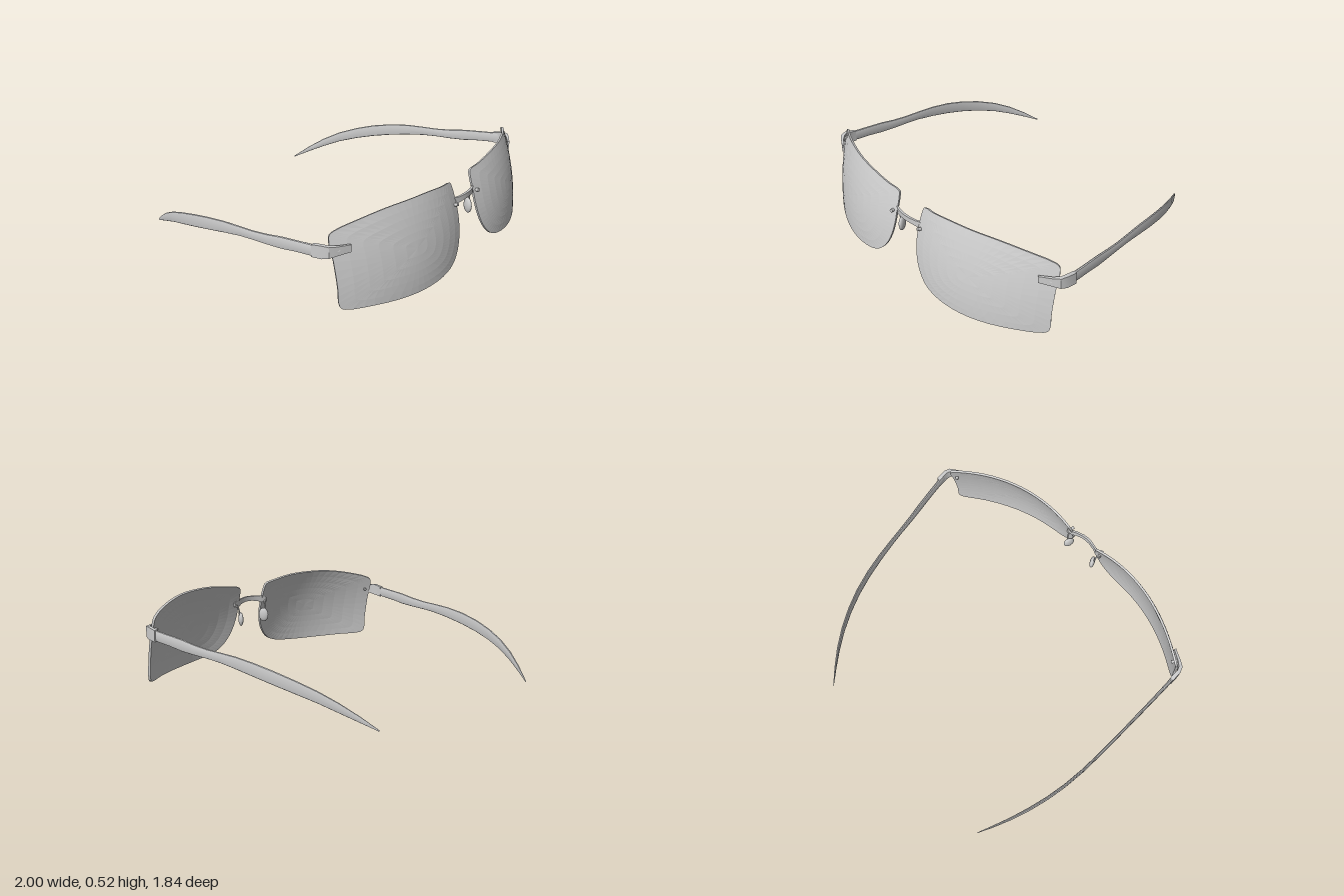
import * as THREE from 'three';
import { toCreasedNormals } from 'three/addons/utils/BufferGeometryUtils.js';

const smooth = new THREE.MeshStandardMaterial({ color: 0xcccccc });
const faceted = new THREE.MeshStandardMaterial({ color: 0xcccccc, flatShading: true });

function part(name, geometry, material = smooth) {
  const mesh = new THREE.Mesh(geometry, material);
  mesh.name = name;
  return mesh;
}

function buildGeometry(points, index) {
  const g = new THREE.BufferGeometry();
  g.setAttribute('position', new THREE.Float32BufferAttribute(points.flatMap(p => [p.x, p.y, p.z]), 3));
  g.setIndex(index);
  g.computeVertexNormals();
  return g;
}

// Cross-sections along a path seen from above; each row is [x, z, bottom, top, thickness]
function loft(rows, section) {
  const n = section.length, points = [], index = [];
  rows.forEach(([x, z, y0, y1, t], i) => {
    const a = rows[Math.max(i - 1, 0)], b = rows[Math.min(i + 1, rows.length - 1)];
    const len = Math.hypot(b[0] - a[0], b[1] - a[1]);
    const nx = -(b[1] - a[1]) / len, nz = (b[0] - a[0]) / len;
    for (const [u, v] of section) {
      points.push(new THREE.Vector3(x + nx * u * t / 2, (y0 + y1) / 2 + v * (y1 - y0) / 2, z + nz * u * t / 2));
    }
  });
  for (let i = 0; i < rows.length - 1; i++) {
    for (let j = 0; j < n; j++) {
      const a = i * n + j, b = i * n + (j + 1) % n;
      index.push(a, a + n, b, b, a + n, b + n);
    }
  }
  const last = (rows.length - 1) * n;
  for (let j = 1; j < n - 1; j++) index.push(0, j, j + 1, last, last + j + 1, last + j);
  return toCreasedNormals(buildGeometry(points, index), 0.6);
}

const boxSection = [[1, -1], [1, 1], [-1, 1], [-1, -1]];
const roundSection = Array.from({ length: 12 }, (_, j) => {
  const a = (j / 12) * Math.PI * 2;
  const bulge = c => Math.sign(c) * Math.abs(c) ** 0.7;
  return [bulge(Math.cos(a)), bulge(Math.sin(a))];
});

// Wrapped lens surface: curves back toward the temple and toward the top
const lensPoint = (x, y) => new THREE.Vector3(x, y, 0.92 - 0.6 * (x - 0.3) ** 2 - 0.4 * y * y);
const lensNormal = (x, y) => new THREE.Vector3(1.2 * (x - 0.3), 0.8 * y, 1).normalize();

function lensGeometry() {
  const outline = [
    [0.115, 0.485], [0.2, 0.5], [0.35, 0.52], [0.5, 0.525], [0.65, 0.52], [0.8, 0.495], [0.93, 0.455], [0.955, 0.43],
    [0.96, 0.3], [0.96, 0.15], [0.957, 0.045], [0.935, 0.026], [0.8, 0.018], [0.6, 0.013], [0.45, 0.018],
    [0.3, 0.036], [0.22, 0.065], [0.165, 0.115], [0.125, 0.185], [0.102, 0.28], [0.1, 0.38], [0.105, 0.46],
  ].map(([x, y]) => new THREE.Vector3(x, y, 0));
  const loop = new THREE.CatmullRomCurve3(outline, true, 'centripetal').getPoints(66).slice(0, 66);
  const n = loop.length, rings = 6, points = [], index = [];
  const centre = new THREE.Vector3(0.53, 0.27, 0);
  const layer = (rings + 1) * n;
  // Front layer, then back layer
  for (const depth of [0, 0.014]) {
    for (let r = 0; r <= rings; r++) {
      for (const p of loop) {
        const q = centre.clone().lerp(p, r / rings);
        points.push(lensPoint(q.x, q.y).addScaledVector(lensNormal(q.x, q.y), -depth));
      }
    }
  }
  for (let j = 0; j < n; j++) {
    const k = (j + 1) % n;
    for (let r = 0; r < rings; r++) {
      const a = r * n + j, b = r * n + k, c = a + n, d = b + n;
      index.push(a, d, c, layer + a, layer + c, layer + d);
      if (r > 0) index.push(a, b, d, layer + a, layer + d, layer + b);
    }
    const e = rings * n + j, f = rings * n + k;
    index.push(e, f, layer + e, f, layer + f, layer + e);
  }
  return buildGeometry(points, index);
}

function rivet(x, y) {
  const mesh = part('rivet', new THREE.CylinderGeometry(0.01, 0.01, 0.052, 10));
  const normal = lensNormal(x, y);
  mesh.position.copy(lensPoint(x, y)).addScaledVector(normal, -0.006);
  mesh.quaternion.setFromUnitVectors(new THREE.Vector3(0, 1, 0), normal);
  return mesh;
}

// Temple arm, measured from its hinge
const hinge = [0.988, 0.56];
function templeGeometry() {
  const rows = [
    [0.988, 0.57, 0.322, 0.392, 0.02], [0.988, 0.5, 0.312, 0.38, 0.022], [0.987, 0.4, 0.302, 0.37, 0.02],
    [0.985, 0.3, 0.287, 0.36, 0.019], [0.982, 0.2, 0.28, 0.343, 0.018], [0.98, 0.1, 0.276, 0.332, 0.017],
    [0.977, 0, 0.268, 0.328, 0.016], [0.972, -0.12, 0.25, 0.322, 0.016], [0.963, -0.25, 0.226, 0.305, 0.016],
    [0.945, -0.38, 0.198, 0.278, 0.016], [0.918, -0.5, 0.168, 0.244, 0.016], [0.88, -0.62, 0.132, 0.2, 0.016],
    [0.835, -0.73, 0.088, 0.144, 0.014], [0.785, -0.83, 0.043, 0.078, 0.01], [0.735, -0.92, 0, 0.008, 0.003],
  ].map(([x, z, ...rest]) => [x - hinge[0], z - hinge[1], ...rest]);
  return loft(rows, roundSection);
}

function createSide(templeAngle) {
  const side = new THREE.Group();
  side.add(part('lens', lensGeometry(), faceted));
  side.add(rivet(0.125, 0.365), rivet(0.932, 0.365));

  // Bracket wrapping from the lens front round to the hinge
  side.add(part('hingeBracket', loft([
    [0.88, 0.674, 0.343, 0.385, 0.012], [0.945, 0.634, 0.336, 0.388, 0.016],
    [0.978, 0.607, 0.328, 0.392, 0.022], [0.989, 0.575, 0.32, 0.395, 0.022], [0.988, 0.51, 0.312, 0.383, 0.024],
  ], boxSection)));

  const temple = part('temple', templeGeometry());
  temple.position.set(hinge[0], 0, hinge[1]);
  temple.rotation.y = templeAngle;
  side.add(temple);

  // Nose pad on its thin wire
  const pad = part('nosePad', new THREE.SphereGeometry(1, 16, 12));
  pad.scale.set(0.016, 0.047, 0.035);
  pad.position.set(0.102, 0.265, 0.81);
  pad.rotation.y = -0.45;
  side.add(pad);
  const wire = new THREE.CatmullRomCurve3([
    new THREE.Vector3(0.12, 0.365, 0.835), new THREE.Vector3(0.118, 0.34, 0.812),
    new THREE.Vector3(0.113, 0.3, 0.81), new THREE.Vector3(0.105, 0.27, 0.812),
  ]);
  side.add(part('nosePadArm', new THREE.TubeGeometry(wire, 10, 0.005, 6)));
  return side;
}

export function createModel() {
  const model = new THREE.Group();
  model.name = 'sunglasses';

  // The left temple is folded in slightly more than the right
  const left = createSide(0.105);
  left.name = 'leftSide';
  const right = createSide(0);
  right.name = 'rightSide';
  right.scale.x = -1;

  const bridge = part('bridge', loft([
    [-0.14, 0.826, 0.352, 0.382, 0.012], [-0.1, 0.832, 0.35, 0.396, 0.012], [-0.075, 0.843, 0.36, 0.396, 0.012],
    [-0.03, 0.853, 0.368, 0.4, 0.014], [0, 0.855, 0.369, 0.401, 0.014], [0.03, 0.853, 0.368, 0.4, 0.014],
    [0.075, 0.843, 0.36, 0.396, 0.012], [0.1, 0.832, 0.35, 0.396, 0.012], [0.14, 0.826, 0.352, 0.382, 0.012],
  ], boxSection));

  model.add(left, right, bridge);
  return model;
}
